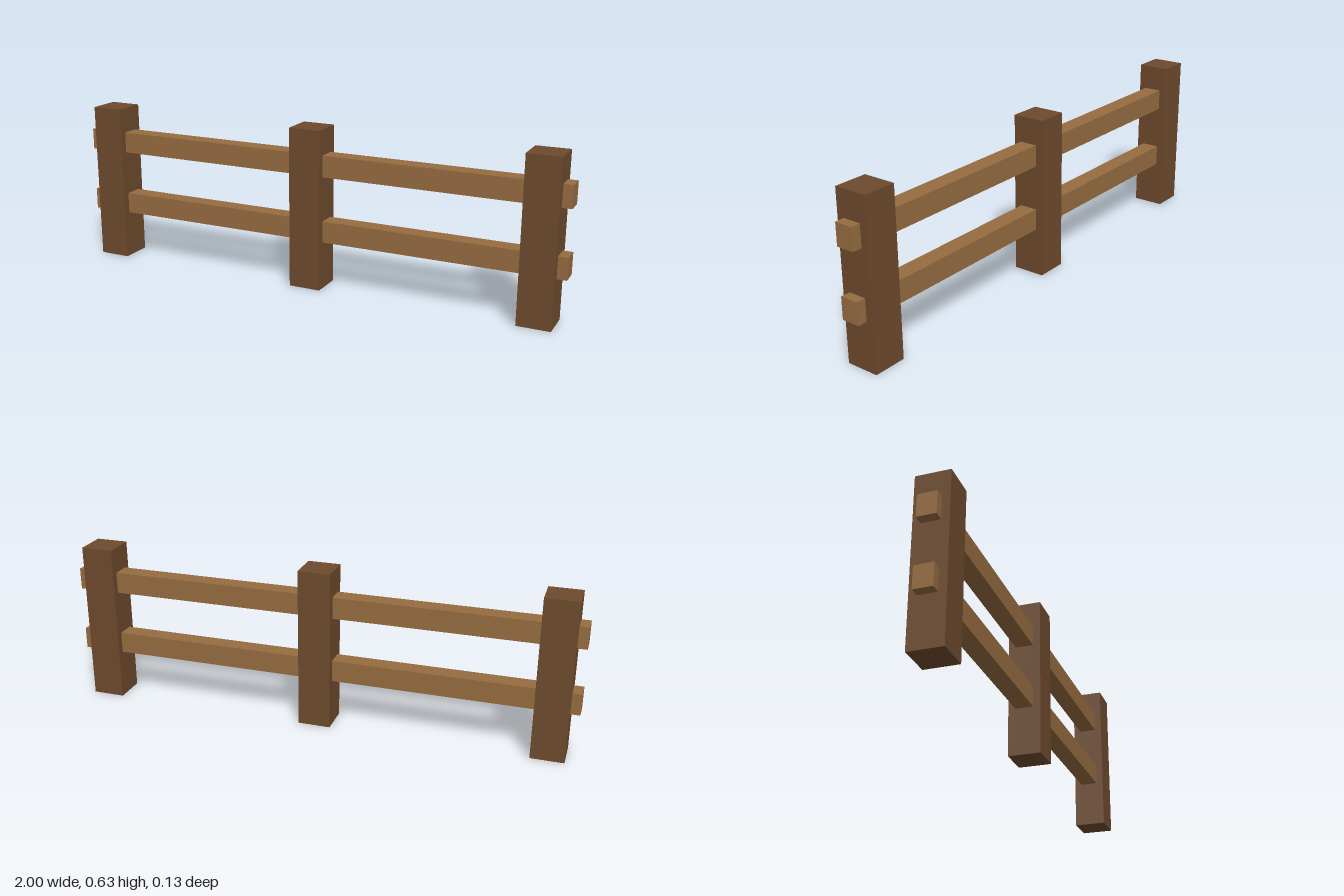
import * as THREE from 'three';

export function createModel() {
  const fence = new THREE.Group();
  fence.name = 'fence';

  const postWood = new THREE.MeshStandardMaterial({ color: 0x6e4a2d });
  postWood.name = 'dark post wood';
  const railWood = new THREE.MeshStandardMaterial({ color: 0x966c40 });
  railWood.name = 'light rail wood';

  const addBeam = (name, size, x, y, material) => {
    const beam = new THREE.Mesh(new THREE.BoxGeometry(...size), material);
    beam.name = name;
    beam.position.set(x, y, 0);
    fence.add(beam);
  };

  // Three square upright posts
  const postHeight = 0.629, postWidth = 0.127;
  const posts = { rightPost: -0.9, middlePost: 0, leftPost: 0.9 };
  for (const [name, x] of Object.entries(posts)) {
    addBeam(name, [postWidth, postHeight, postWidth], x, postHeight / 2, postWood);
  }

  // Two rails running through the posts, with short ends showing
  const rails = { lowerRail: 0.229, upperRail: 0.487 };
  for (const [name, y] of Object.entries(rails)) {
    addBeam(name, [2, 0.084, 0.07], 0, y, railWood);
  }

  return fence;
}
